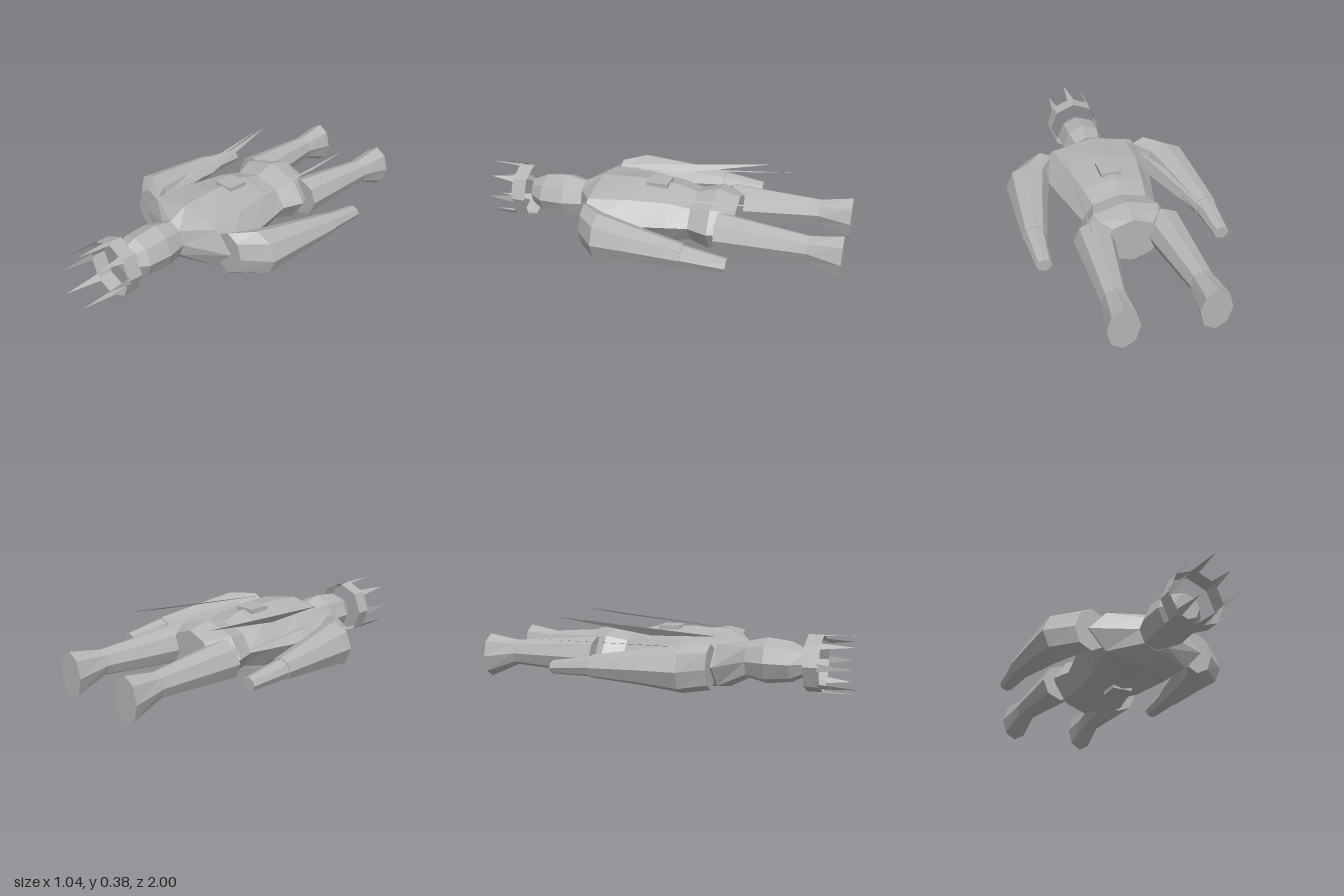
import * as THREE from 'three';

const SIDES = 8;

// Closed octagonal loft; sections run from +z to -z as [z, cx, cy, rx, ry]
function loft(sections) {
  const pos = [], idx = [];
  sections.forEach(([z, cx, cy, rx, ry]) => {
    for (let j = 0; j < SIDES; j++) {
      const a = (j / SIDES) * Math.PI * 2;
      pos.push(cx + Math.sin(a) * rx, cy + Math.cos(a) * ry, z);
    }
  });
  const last = sections.length - 1;
  for (let i = 0; i < last; i++) {
    for (let j = 0; j < SIDES; j++) {
      const k = (j + 1) % SIDES, p = i * SIDES, q = p + SIDES;
      idx.push(p + j, p + k, q + j, p + k, q + k, q + j);
    }
  }
  for (let j = 1; j < SIDES - 1; j++) {
    idx.push(0, j + 1, j);
    idx.push(last * SIDES, last * SIDES + j, last * SIDES + j + 1);
  }
  return finish(pos, idx);
}

function finish(pos, idx) {
  const g = new THREE.BufferGeometry();
  g.setAttribute('position', new THREE.Float32BufferAttribute(pos, 3));
  g.setIndex(idx);
  const flat = g.toNonIndexed();
  flat.computeVertexNormals();
  return flat;
}

const triangle = (a, b, c) => finish([...a, ...b, ...c], [0, 1, 2]);

export function createModel() {
  const group = new THREE.Group();
  const grey = new THREE.MeshStandardMaterial({
    name: 'plain grey', color: 0xb4b4b4, flatShading: true, side: THREE.DoubleSide,
  });
  const add = (name, geometry, parent = group) => {
    const mesh = new THREE.Mesh(geometry, grey);
    mesh.name = name;
    parent.add(mesh);
    return mesh;
  };

  // Torso from the neck to the hips
  add('torso', loft([
    [0.42, 0, 0.18, 0.09, 0.10],
    [0.32, 0, 0.18, 0.32, 0.15],
    [0.12, 0, 0.18, 0.275, 0.163],
    [-0.10, 0, 0.18, 0.225, 0.153],
    [-0.21, 0, 0.18, 0.20, 0.123],
    [-0.32, 0, 0.18, 0.24, 0.153],
    [-0.375, 0, 0.18, 0.215, 0.142],
    [-0.44, 0, 0.18, 0.145, 0.125],
  ]));

  // Square block through the middle of the torso
  const block = add('bodyBlock', new THREE.BoxGeometry(0.11, 0.33, 0.115));
  block.position.set(0, 0.18, -0.005);

  // Head
  add('head', loft([
    [0.725, 0, 0.18, 0.065, 0.068],
    [0.65, 0, 0.18, 0.118, 0.105],
    [0.52, 0, 0.18, 0.12, 0.12],
    [0.41, 0, 0.18, 0.09, 0.095],
  ]));

  // Arms, hands and legs, mirrored
  for (const s of [1, -1]) {
    const side = s > 0 ? 'left' : 'right';
    add(side + 'Arm', loft([
      [0.31, s * 0.30, 0.18, 0.09, 0.115],
      [0.20, s * 0.395, 0.18, 0.12, 0.12],
      [0.0, s * 0.425, 0.18, 0.093, 0.09],
      [-0.26, s * 0.457, 0.175, 0.063, 0.058],
    ]));
    add(side + 'Hand', loft([
      [-0.25, s * 0.457, 0.175, 0.058, 0.053],
      [-0.48, s * 0.46, 0.158, 0.04, 0.034],
    ]));
    add(side + 'Leg', loft([
      [-0.365, s * 0.18, 0.18, 0.105, 0.105],
      [-0.83, s * 0.213, 0.18, 0.063, 0.067],
      [-1.0, s * 0.22, 0.157, 0.08, 0.118],
    ]));
  }

  // Crown: open band with flat points
  const crown = new THREE.Group();
  crown.name = 'crown';
  crown.position.y = 0.18;
  group.add(crown);
  const band = new THREE.CylinderGeometry(0.147, 0.147, 0.08, SIDES, 1, true);
  add('crownBand', band.rotateX(Math.PI / 2).translate(0, 0, 0.77), crown);
  for (let i = 0; i < SIDES; i++) {
    const tip = i > 3 || i === 0 ? 0.985 : 0.94;
    const point = add('crownPoint', triangle(
      [-0.02, 0.144, 0.80], [0.02, 0.144, 0.80], [0, 0.147, i === 5 ? 1 : tip]), crown);
    point.rotation.z = -i * Math.PI / 4;
  }

  // Thin trailing blades over the back
  add('rightBlade', triangle([-0.18, 0.315, 0.31], [-0.19, 0.305, -0.05], [-0.27, 0.39, -0.55]));
  add('leftBlade', triangle([0.18, 0.31, 0.31], [0.235, 0.36, -0.40], [0.245, 0.39, -0.65]));
  add('outerBlade', triangle([-0.24, 0.26, 0.25], [-0.32, 0.275, 0.0], [-0.42, 0.29, -0.65]));

  return group;
}
